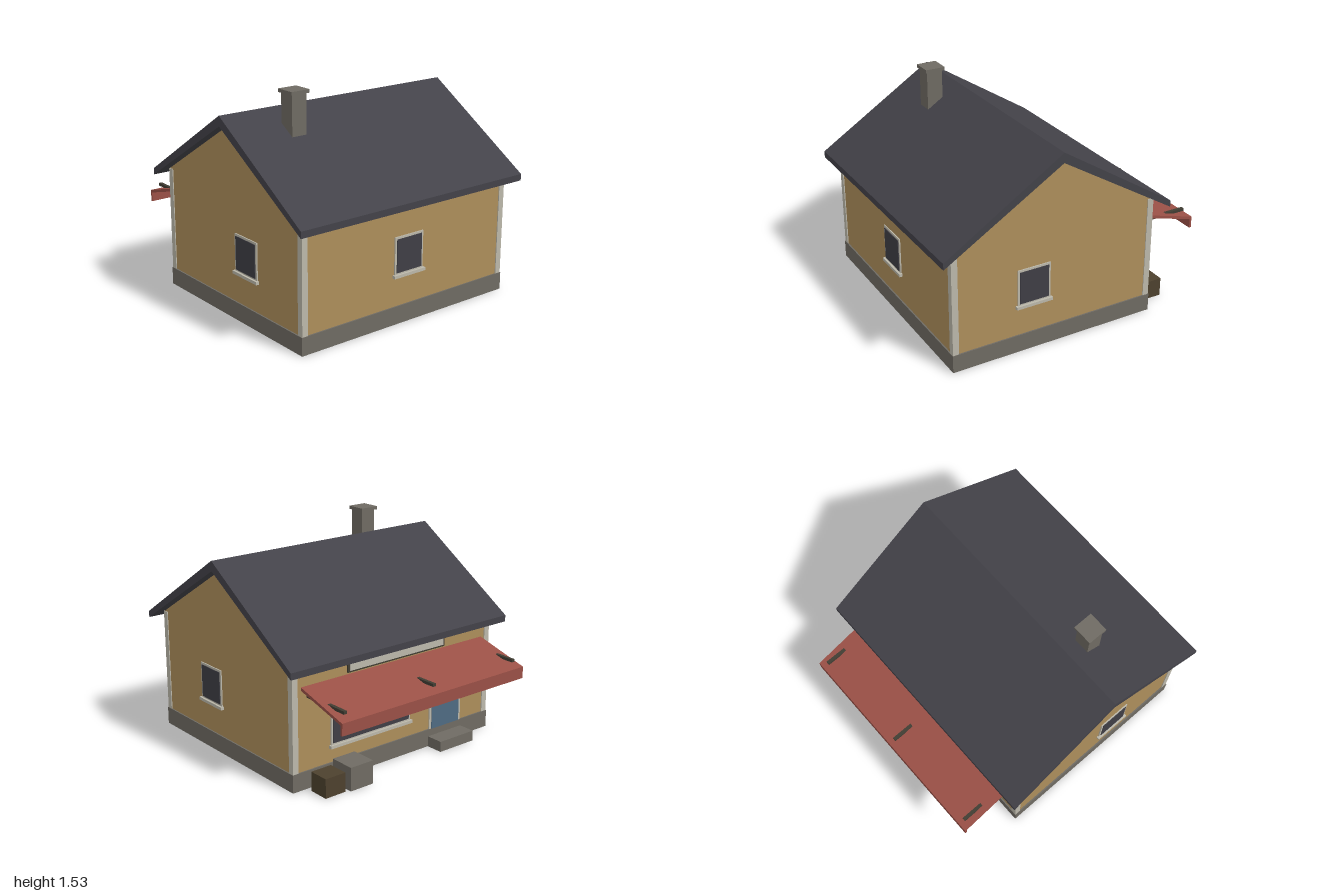
import * as THREE from 'three';

const mat = (name, color) => Object.assign(new THREE.MeshStandardMaterial({ color }), { name });

export function createModel() {
  const wallPaint = mat('ochre wall', 0xad8e5b);
  const roofSlate = mat('dark slate', 0x434249);
  const stone = mat('grey stone', 0x6f6b63);
  const trim = mat('pale trim', 0xbcb8ab);
  const glass = mat('dark glass', 0x3f3e45);
  const awningRed = mat('awning red', 0x9a5046);
  const doorBlue = mat('door blue', 0x4f6b82);
  const iron = mat('dark iron', 0x403d33);
  const crateBrown = mat('crate brown', 0x4d412e);

  const house = new THREE.Group();
  house.name = 'house';
  const MID = 0.157; // z of the ridge
  const HX = 0.87, HZ = 0.75; // half size of the walls

  // box given by its lower and upper limits on each axis
  function box(name, material, [x0, x1], [y0, y1], [z0, z1], parent = house) {
    const mesh = new THREE.Mesh(new THREE.BoxGeometry(x1 - x0, y1 - y0, z1 - z0), material);
    mesh.position.set((x0 + x1) / 2, (y0 + y1) / 2, (z0 + z1) / 2);
    mesh.name = name;
    parent.add(mesh);
    return mesh;
  }

  // [z, y] outline extruded along x, centred on x = 0
  function profile(name, material, points, width) {
    const shape = new THREE.Shape(points.map(([z, y]) => new THREE.Vector2(-z, y)));
    const geometry = new THREE.ExtrudeGeometry(shape, { depth: width, bevelEnabled: false });
    geometry.translate(0, 0, -width / 2).rotateY(Math.PI / 2);
    const mesh = new THREE.Mesh(geometry, material);
    mesh.name = name;
    house.add(mesh);
  }

  // plinth, gabled walls and roof
  box('plinth', stone, [-0.88, 0.88], [0, 0.125], [MID - 0.76, MID + 0.76]);
  profile('walls', wallPaint, [
    [MID + HZ, 0.12], [MID - HZ, 0.12], [MID - HZ, 0.864], [MID, 1.322], [MID + HZ, 0.864],
  ], HX * 2);
  profile('roof', roofSlate, [
    [1, 0.808], [MID, 1.32], [-0.686, 0.808], [-0.686, 0.854], [MID, 1.39], [1, 0.854],
  ], 1.896);

  // corner boards
  for (const sx of [-1, 1]) for (const sz of [-1, 1]) {
    const x = sx * 0.854, z = MID + sz * 0.735;
    box('cornerBoard', trim, [x - 0.022, x + 0.022], [0.125, 0.862], [z - 0.022, z + 0.022]);
  }

  // chimney
  box('chimneyStack', stone, [-0.555, -0.44], [1.1, 1.51], [0.285, 0.4]);
  box('chimneyCap', stone, [-0.57, -0.425], [1.51, 1.533], [0.27, 0.413]);

  // window in the local xy plane, facing +z, with y measured from the ground
  function makeWindow(name, halfW, y0, y1, edge) {
    const g = new THREE.Group();
    g.name = name;
    box('windowFrame', trim, [-halfW, halfW], [y0, y1], [-0.005, 0.008], g);
    box('windowPane', glass, [-halfW + edge, halfW - edge], [y0 + edge, y1 - edge], [0.006, 0.013], g);
    box('windowSill', trim, [-halfW - 0.013, halfW + 0.013], [y0 - 0.018, y0 + 0.003], [-0.005, 0.023], g);
    house.add(g);
    return g;
  }
  makeWindow('frontWindow', 0.122, 0.345, 0.606, 0.015).position.z = MID + HZ;
  for (const s of [-1, 1]) {
    const w = makeWindow('sideWindow', 0.122, 0.345, 0.606, 0.015);
    w.position.set(s * HX, 0, 0.32);
    w.rotation.y = s * Math.PI / 2;
  }
  const shop = makeWindow('shopWindow', 0.345, 0.243, 0.62, 0.015);
  shop.position.set(0.22, 0, MID - HZ);
  shop.rotation.y = Math.PI;

  // door and step
  const back = MID - HZ;
  box('doorFrame', trim, [-0.61, -0.31], [0.125, 0.645], [back - 0.008, back + 0.005]);
  box('door', doorBlue, [-0.59, -0.33], [0.125, 0.625], [back - 0.013, back - 0.006]);
  box('doorStep', stone, [-0.615, -0.3], [0, 0.075], [-0.73, -0.6]);

  // sign board above the awning
  box('signBacking', iron, [-0.43, 0.43], [0.715, 0.808], [back - 0.013, back + 0.005]);
  box('signPanel', trim, [-0.415, 0.415], [0.728, 0.795], [back - 0.02, back - 0.012]);

  // awning with valance and its support arms
  profile('awning', awningRed, [
    [back, 0.68], [-0.985, 0.572], [-0.985, 0.505], [-1, 0.505], [-1, 0.588], [back, 0.702],
  ], 1.604);
  for (const x of [-0.745, 0, 0.745]) {
    box('awningArm', iron, [x - 0.012, x + 0.012], [0.623, 0.643], [-0.96, back]);
  }

  // crates beside the wall
  box('greyCrate', stone, [0.39, 0.575], [0, 0.165], [-0.812, -0.628]);
  box('brownCrate', crateBrown, [0.605, 0.765], [0, 0.135], [-0.792, -0.645]);

  return house;
}
